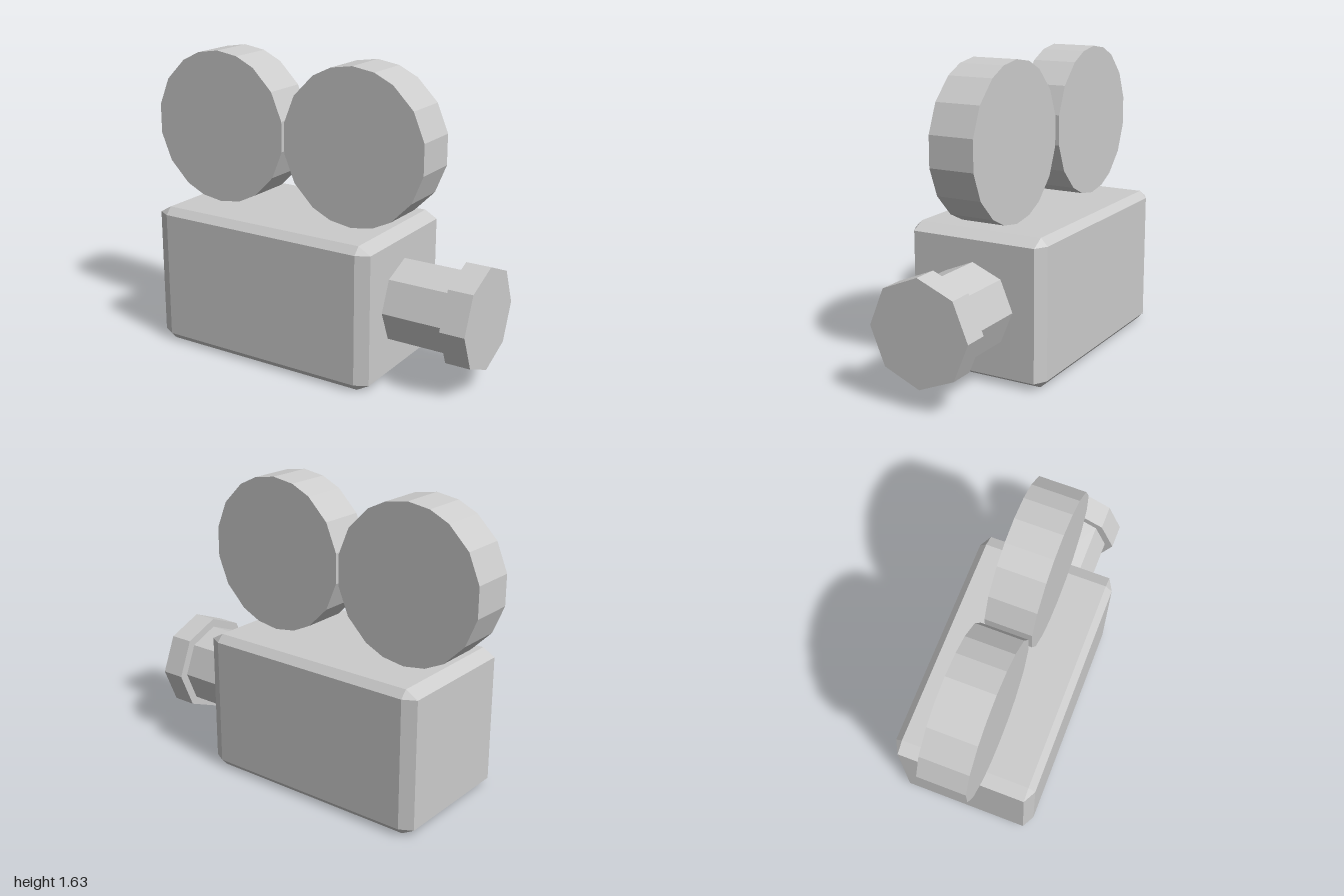
import * as THREE from 'three';
import { ConvexGeometry } from 'three/addons/geometries/ConvexGeometry.js';

const material = new THREE.MeshStandardMaterial({ color: 0xcccccc, flatShading: true });

function addPart(group, name, geometry, x, y, z) {
  const mesh = new THREE.Mesh(geometry, material);
  mesh.name = name;
  mesh.position.set(x, y, z);
  group.add(mesh);
  return mesh;
}

// Box with every edge and corner cut; bx, by, bz are the cuts along each axis
function chamferedBox(w, h, d, bx, by, bz) {
  const points = [];
  const [x, y, z] = [w / 2, h / 2, d / 2];
  for (const sx of [-1, 1]) for (const sy of [-1, 1]) for (const sz of [-1, 1]) {
    points.push(
      new THREE.Vector3(sx * x, sy * (y - by), sz * (z - bz)),
      new THREE.Vector3(sx * (x - bx), sy * y, sz * (z - bz)),
      new THREE.Vector3(sx * (x - bx), sy * (y - by), sz * z)
    );
  }
  return new ConvexGeometry(points);
}

// Faceted film reel, its slightly uneven facets mirrored on both axes
function reelGeometry(radius, depth) {
  const quarter = [0, 17.5, 33.75, 56.25, 78.75];
  const half = [...quarter, ...quarter.map((a) => 180 - a).reverse()];
  const angles = [...half, ...half.slice(1, -1).map((a) => 360 - a).reverse()];
  const shape = new THREE.Shape(angles.map((a) => {
    const t = THREE.MathUtils.degToRad(a);
    return new THREE.Vector2(radius * Math.sin(t), radius * Math.cos(t));
  }));
  const geometry = new THREE.ExtrudeGeometry(shape, { depth, bevelEnabled: false });
  return geometry.translate(0, 0, -depth / 2);
}

// Octagonal cylinder lying along x
function lensGeometry(radius, length) {
  return new THREE.CylinderGeometry(radius, radius, length, 8).rotateZ(-Math.PI / 2);
}

export function createModel() {
  const group = new THREE.Group();
  group.name = 'filmCamera';

  // Camera body
  addPart(group, 'body', chamferedBox(1.345, 0.785, 0.785, 0.07, 0.04, 0.038), -0.16, 0.3925, 0);

  // Two film reels standing on the body
  const reel = reelGeometry(0.4225, 0.253);
  addPart(group, 'rearReel', reel, -0.588, 1.208, 0);
  addPart(group, 'frontReel', reel, 0.265, 1.208, 0.01);

  // Lens barrel and its wider hood
  addPart(group, 'lensBarrel', lensGeometry(0.232, 0.37), 0.685, 0.396, 0);
  addPart(group, 'lensHood', lensGeometry(0.28, 0.137), 0.9315, 0.396, 0);

  return group;
}
